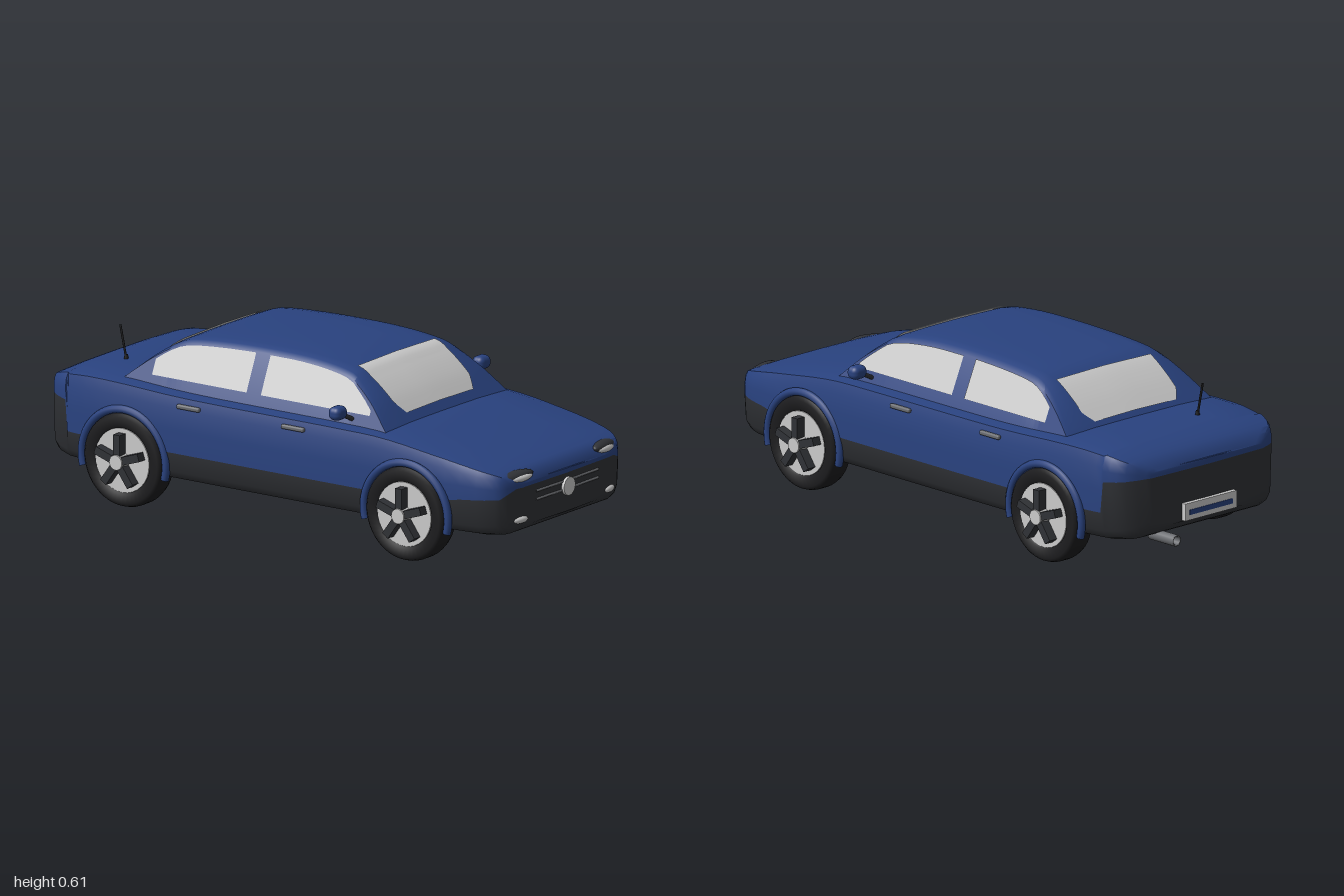
import * as THREE from 'three';
import { toCreasedNormals } from 'three/addons/utils/BufferGeometryUtils.js';
import { RoundedBoxGeometry } from 'three/addons/geometries/RoundedBoxGeometry.js';

const mat = (color) => new THREE.MeshStandardMaterial({ color, side: THREE.DoubleSide });
const blue = mat(0x29427f), dark = mat(0x303236), black = mat(0x1c1c1e), grey = mat(0xcccccc), steel = mat(0x6a6c70);

// Interpolates a table of [z, value] pairs running from front to back
function table(pairs, smooth = true) {
  let pts = pairs.map(([z, v]) => new THREE.Vector2(z, v));
  if (smooth) pts = new THREE.SplineCurve(pts).getPoints(120);
  return (z) => {
    if (z >= pts[0].x) return pts[0].y;
    for (let i = 1; i < pts.length; i++) {
      if (z >= pts[i].x) {
        const t = (pts[i - 1].x - z) / (pts[i - 1].x - pts[i].x);
        return THREE.MathUtils.lerp(pts[i - 1].y, pts[i].y, t);
      }
    }
    return pts[pts.length - 1].y;
  };
}

// Skins a list of cross-sections, given front to back
function loft(rings) {
  const n = rings[0].length, index = [];
  for (let i = 0; i < rings.length - 1; i++) {
    for (let j = 0; j < n - 1; j++) {
      const a = i * n + j, b = a + 1, c = a + n, d = c + 1;
      index.push(a, c, b, c, d, b);
    }
  }
  const g = new THREE.BufferGeometry();
  g.setAttribute('position', new THREE.Float32BufferAttribute(rings.flat(2), 3));
  g.setIndex(index);
  return toCreasedNormals(g, 0.7);
}

const mirrored = (half) => half.map(([x, y, z]) => [-x, y, z]).reverse();
const steps = (a, b, n) => Array.from({ length: n + 1 }, (_, i) => a + (b - a) * i / n);

// Body outlines along z: half width, top, underside, paint line
const width = table([[0.985, 0.25], [0.97, 0.315], [0.94, 0.35], [0.88, 0.374], [0.78, 0.387], [0.6, 0.396], [0.3, 0.4],
  [-0.3, 0.4], [-0.6, 0.398], [-0.75, 0.39], [-0.85, 0.372], [-0.91, 0.34], [-0.95, 0.26]]);
const top = table([[0.985, 0.298], [0.97, 0.322], [0.94, 0.34], [0.85, 0.362], [0.7, 0.39], [0.5, 0.418], [0.3, 0.424],
  [-0.3, 0.426], [-0.6, 0.438], [-0.75, 0.438], [-0.85, 0.425], [-0.92, 0.4], [-0.95, 0.365]]);
const under = table([[0.985, 0.15], [0.96, 0.128], [0.9, 0.118], [0.7, 0.116], [-0.7, 0.116], [-0.85, 0.12], [-0.92, 0.135], [-0.95, 0.165]]);
const paintLine = table([[0.98, 0.284], [0.96, 0.255], [0.79, 0.243], [0.72, 0.222], [-0.825, 0.222], [-0.835, 0.33], [-0.95, 0.345]], false);

function bodySection(z, zAt = z, k = 1) {
  const w = width(z) * k, t = top(z), b = under(z), s = paintLine(z), h = t - s;
  return [[0, b], [0.82 * w, b], [0.93 * w, b + 0.013], [0.98 * w, b + 0.04], [w, s], [w, s + 0.4 * h], [0.985 * w, s + 0.75 * h],
    [0.955 * w, s + 0.94 * h], [0.86 * w, t - 0.002], [0.5 * w, t + 0.002], [0, t + 0.003]].map(([x, y]) => [x, y, zAt]);
}

// Cabin outline: roof line over z, and the leaning side wall
const roof = table([[0.49, 0.41], [0.455, 0.448], [0.4, 0.505], [0.33, 0.56], [0.27, 0.59], [0.1, 0.61], [-0.15, 0.611],
  [-0.36, 0.598], [-0.44, 0.576], [-0.52, 0.524], [-0.6, 0.455], [-0.64, 0.415]]);
const wallX = (y) => 0.345 - 0.44 * (y - 0.42);

function cabinSection(z) {
  const h = roof(z), k = Math.max(0, (h - 0.41) / 0.2), e = h - 0.022 * k;
  const half = [[wallX(0.4), 0.4, z], [wallX(e), e, z], [wallX(e) - 0.018, h - 0.009 * k, z], [0.22, h - 0.004 * k, z], [0.12, h - 0.001, z]];
  return [...half, [0, h, z], ...mirrored(half)];
}

// Front and rear glass: a patch just above the cabin skin, narrowed at its foot
function screen(zTop, zFoot) {
  const zs = steps(zTop, zFoot, 14).sort((a, b) => b - a);
  return loft(zs.map((z) => {
    const foot = Math.abs(z - zFoot) / Math.abs(zTop - zFoot);
    const w = Math.min(0.22, 0.19 + 0.03 * foot / 0.2);
    return steps(w, -w, 8).map((x) => [x, roof(z) + 0.005 - 0.004 * Math.abs(x) / 0.22, z + 0.003 * Math.sign(zFoot)]);
  }));
}

// Side glass between two z positions, lying on the cabin wall
function sideGlass(zFront, zBack) {
  return loft(steps(zFront, zBack, 14).map((z) => {
    const y = Math.max(0.462, Math.min(0.588, roof(z) - 0.024));
    return [[wallX(0.46) + 0.004, 0.46, z], [wallX(y) + 0.004, y, z]];
  }));
}

function rod(a, b, r) {
  return new THREE.TubeGeometry(new THREE.LineCurve3(new THREE.Vector3(...a), new THREE.Vector3(...b)), 1, r, 10);
}

export function createModel() {
  const car = new THREE.Group();
  car.name = 'car';
  const add = (name, geo, material, pos = [0, 0, 0], parent = car) => {
    const m = new THREE.Mesh(geo, material);
    m.name = name;
    m.position.set(...pos);
    parent.add(m);
    return m;
  };

  // Body shell, split at the paint line, with closed ends
  const zs = [0.985, 0.98, 0.97, 0.955, 0.94, 0.91, ...steps(0.88, -0.8, 28), -0.825, -0.835, -0.86, -0.885, -0.91, -0.93, -0.942, -0.95];
  const sections = [bodySection(0.985, 0.99, 0), ...zs.map((z) => bodySection(z)), bodySection(-0.95, -0.956, 0)];
  add('lowerBody', loft(sections.map((h) => [...mirrored(h.slice(0, 5)), ...h.slice(1, 5)])), dark);
  add('upperBody', loft(sections.map((h) => [...h.slice(4), ...mirrored(h.slice(4, 10))])), blue);

  // Cabin and glass
  add('cabin', loft(steps(0.49, -0.64, 56).map(cabinSection)), blue);
  add('windscreen', screen(0.27, 0.455), grey);
  add('rearWindow', screen(-0.44, -0.6), grey);

  // Tyre profile and wheel parts, turned about the x axis
  const tyre = new THREE.LatheGeometry([[0.108, -0.04], [0.15, -0.045], [0.16, -0.036], [0.165, -0.02], [0.165, 0.02], [0.16, 0.036],
    [0.15, 0.045], [0.118, 0.043], [0.108, 0.03]].map(([r, y]) => new THREE.Vector2(r, y)), 48).rotateZ(-Math.PI / 2);
  const disc = (r, d, r2 = r) => new THREE.CylinderGeometry(r, r2, d, 32).rotateZ(-Math.PI / 2);

  for (const side of [1, -1]) {
    const half = new THREE.Group();
    half.name = side > 0 ? 'leftSide' : 'rightSide';
    half.scale.x = side;
    car.add(half);
    const put = (name, geo, material, pos) => add(name, geo, material, pos, half);

    put('frontSideWindow', sideGlass(0.405, -0.05), grey);
    put('rearSideWindow', sideGlass(-0.11, -0.505), grey);

    for (const [end, z] of [['front', 0.605], ['rear', -0.575]]) {
      const wheel = new THREE.Group();
      wheel.name = end + 'Wheel';
      wheel.position.set(0.367, 0.165, z);
      half.add(wheel);
      add('tyre', tyre, black, [0, 0, 0], wheel);
      add('rim', disc(0.112, 0.07), grey, [0.004, 0, 0], wheel);
      add('hub', disc(0.026, 0.04, 0.03), grey, [0.058, 0, 0], wheel);
      for (let i = 0; i < 5; i++) {
        const spoke = new THREE.BoxGeometry(0.034, 0.075, 0.028).translate(0.056, 0.058, 0);
        add('spoke', spoke, dark, [0, 0, 0], wheel).rotation.x = i * Math.PI * 2 / 5;
      }
      const arch = new THREE.TorusGeometry(0.176, 0.014, 10, 40, Math.PI + 0.5).rotateZ(-0.25).rotateY(Math.PI / 2);
      put(end + 'WheelArch', arch, blue, [0.396, 0.165, z]);
    }

    // Door handles and mirror
    for (const z of [0.132, -0.305]) put('doorHandle', new RoundedBoxGeometry(0.016, 0.016, 0.095, 2, 0.006), steel, [0.396, 0.388, z]);
    put('mirrorStalk', rod([0.335, 0.44, 0.335], [0.392, 0.468, 0.33], 0.008), dark);
    put('mirror', new RoundedBoxGeometry(0.062, 0.047, 0.05, 4, 0.02), blue, [0.41, 0.476, 0.33]);

    // Lamps
    const ball = new THREE.SphereGeometry(1, 28, 16);
    const lamp = (name, material, pos, scale, turn, tilt) => {
      const m = put(name, ball, material, pos);
      m.scale.set(...scale);
      m.rotation.set(0, turn, tilt);
    };
    lamp('headlampHousing', dark, [0.258, 0.317, 0.953], [0.085, 0.021, 0.027], 0.25, -0.08);
    lamp('headlampLens', grey, [0.247, 0.314, 0.966], [0.06, 0.015, 0.022], 0.25, -0.06);
    lamp('fogLamp', grey, [0.253, 0.172, 0.978], [0.033, 0.013, 0.014], 0.2, 0);
  }

  // Grille bars and round badge
  for (const y of [0.257, 0.228]) add('grilleBar', rod([-0.178, y, 0.988], [0.178, y, 0.988], 0.0045), steel);
  add('roundBadge', new THREE.CylinderGeometry(0.032, 0.032, 0.016, 32).rotateX(Math.PI / 2), grey, [0, 0.238, 0.992]);

  // Rear plate, exhaust and aerial
  add('rearPlate', new THREE.BoxGeometry(0.24, 0.06, 0.02), grey, [0, 0.2, -0.96]);
  add('plateStripe', new THREE.BoxGeometry(0.2, 0.018, 0.004), blue, [0, 0.197, -0.97]);
  const pipe = [[0.014, 0], [0.014, 0.12], [0.02, 0.12], [0.02, 0]].map(([r, y]) => new THREE.Vector2(r, y));
  add('exhaust', new THREE.LatheGeometry(pipe, 20).rotateX(-Math.PI / 2), steel, [0.19, 0.122, -0.88]);
  add('aerial', rod([-0.155, 0.43, -0.74], [-0.155, 0.555, -0.767], 0.004), black);
  add('aerialBase', new THREE.CylinderGeometry(0.006, 0.009, 0.02, 12), black, [-0.155, 0.445, -0.742]);
  return car;
}
